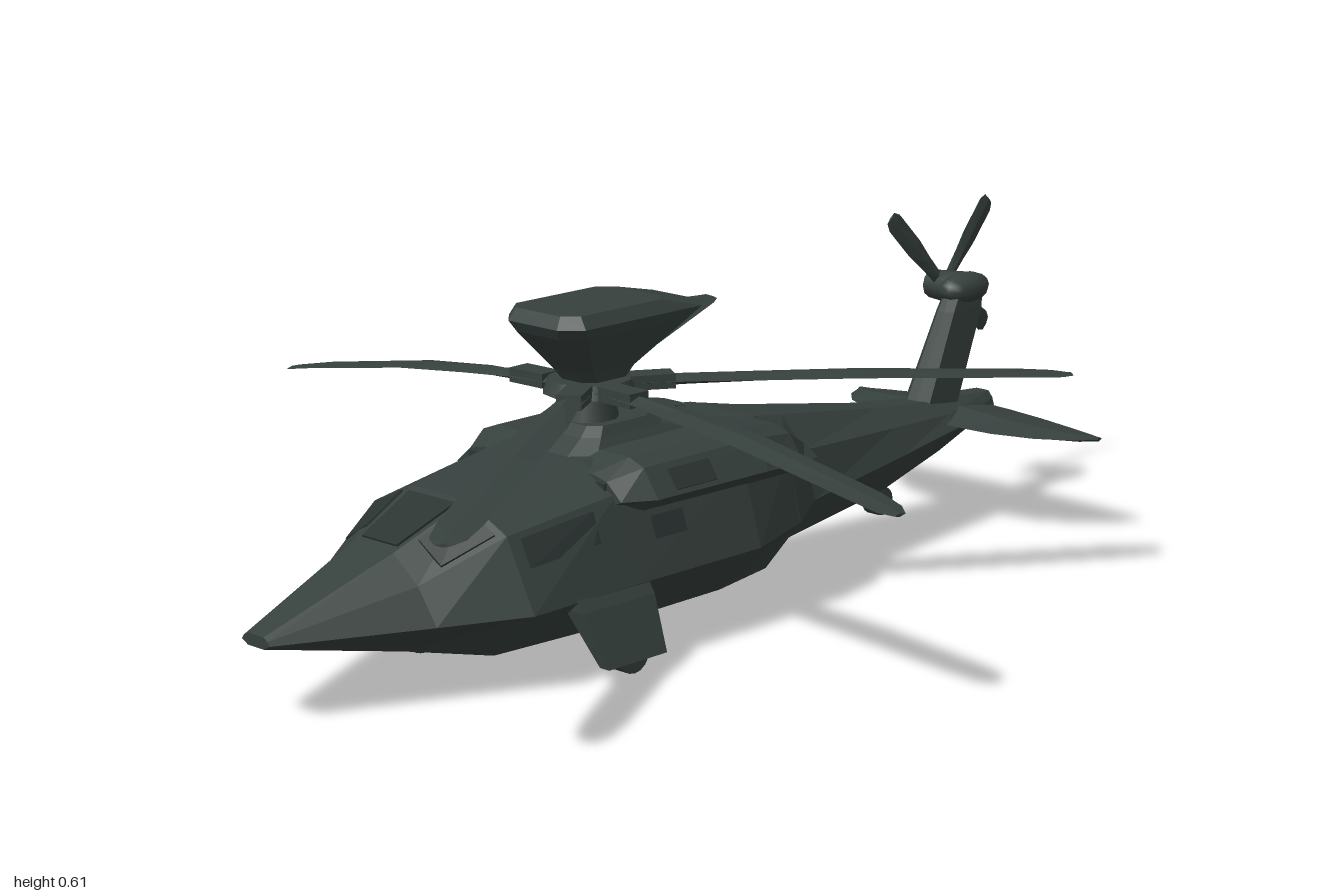
import * as THREE from 'three';

const paint = new THREE.MeshStandardMaterial({ color: 0x36403d });
paint.name = 'dark grey green paint';
const dark = new THREE.MeshStandardMaterial({ color: 0x2c3432 });
dark.name = 'dark glass and vents';

const V = (x, y, z) => new THREE.Vector3(x, y, z);

// Faceted skin through rings of points, closed at both ends.
// Rings run anticlockwise when looking at the first ring from outside.
function loft(rings, mirror = false) {
  if (mirror) rings = rings.map(r => r.map(p => V(-p.x, p.y, p.z)).reverse());
  const pos = [];
  const tri = (...ps) => ps.forEach(p => pos.push(p.x, p.y, p.z));
  const n = rings[0].length;
  for (let i = 0; i < rings.length - 1; i++) {
    const a = rings[i], b = rings[i + 1];
    for (let j = 0; j < n; j++) {
      const k = (j + 1) % n;
      tri(a[j], b[j], b[k]);
      tri(a[j], b[k], a[k]);
    }
  }
  const first = rings[0], last = rings[rings.length - 1];
  for (let j = 1; j < n - 1; j++) {
    tri(first[0], first[j], first[j + 1]);
    tri(last[0], last[j + 1], last[j]);
  }
  const g = new THREE.BufferGeometry();
  g.setAttribute('position', new THREE.Float32BufferAttribute(pos, 3));
  g.computeVertexNormals();
  return g;
}

// Horizontal octagon with chamfered corners
function octRing(y, hw, z0, z1, c) {
  return [[hw, z0 + c], [hw - c, z0], [-hw + c, z0], [-hw, z0 + c],
    [-hw, z1 - c], [-hw + c, z1], [hw - c, z1], [hw, z1 - c]].map(([x, z]) => V(x, y, z));
}

// Diamond-section blade from p0 to p1; stations are [t, half chord, half thickness]
function blade(p0, p1, up, stations, drop = 0) {
  const dir = p1.clone().sub(p0).normalize();
  const side = up.clone().cross(dir.negate()).normalize();
  return loft(stations.map(([t, c, h]) => {
    const m = p0.clone().lerp(p1, t).addScaledVector(up, -drop * t * t);
    return [[c, 0], [0, h], [-c, 0], [0, -h]].map(([a, b]) =>
      m.clone().addScaledVector(side, a).addScaledVector(up, b));
  }));
}

export function createModel() {
  const model = new THREE.Group();
  const add = (name, geo, mat = paint, parent = model) => {
    const m = new THREE.Mesh(geo, mat);
    m.name = name;
    parent.add(m);
    return m;
  };
  const group = name => {
    const g = new THREE.Group();
    g.name = name;
    model.add(g);
    return g;
  };
  const wheel = (name, x, y, z, r, w, parent) =>
    add(name, new THREE.CylinderGeometry(r, r, w, 16).rotateZ(Math.PI / 2).translate(x, y, z), paint, parent);

  // Fuselage: z, then half width and height of belly, chine, shoulder and roof
  const hull = [
    [0.975, 0.02, 0.135, 0.035, 0.143, 0.03, 0.15, 0.02, 0.156],
    [0.72, 0.075, 0.085, 0.155, 0.143, 0.11, 0.205, 0.05, 0.25],
    [0.57, 0.13, 0.055, 0.23, 0.145, 0.165, 0.27, 0.07, 0.315],
    [0.33, 0.135, 0.05, 0.235, 0.15, 0.185, 0.3, 0.1, 0.343],
    [0.02, 0.135, 0.052, 0.235, 0.15, 0.19, 0.3, 0.1, 0.348],
    [-0.13, 0.11, 0.055, 0.19, 0.155, 0.16, 0.28, 0.08, 0.336],
    [-0.14, 0.1, 0.08, 0.187, 0.157, 0.155, 0.28, 0.075, 0.334],
    [-0.23, 0.08, 0.088, 0.14, 0.17, 0.115, 0.26, 0.055, 0.318],
    [-0.53, 0.045, 0.11, 0.1, 0.19, 0.075, 0.24, 0.03, 0.272],
    [-0.72, 0.03, 0.152, 0.075, 0.205, 0.055, 0.23, 0.025, 0.252],
    [-0.89, 0.015, 0.2, 0.03, 0.215, 0.025, 0.23, 0.015, 0.242],
  ].map(([z, ...s]) => {
    const half = [0, 2, 4, 6].map(i => V(s[i], s[i + 1], z));
    return [...half, ...half.map(p => V(-p.x, p.y, z)).reverse()];
  });
  add('fuselage', loft(hull));

  // Thin panel lying on one fuselage face (u along the length, v up the face)
  function panel(name, i, j, u0, u1, v0, v1, mirror) {
    const at = (u, v) => hull[i][j].clone().lerp(hull[i + 1][j], u)
      .lerp(hull[i][j + 1].clone().lerp(hull[i + 1][j + 1], u), v);
    const c = [at(u0, v0), at(u1, v0), at(u1, v1), at(u0, v1)];
    const n = c[2].clone().sub(c[0]).cross(c[3].clone().sub(c[1])).normalize();
    add(name, loft([c.map(p => p.clone().addScaledVector(n, 0.004)),
      c.map(p => p.clone().addScaledVector(n, -0.003))], mirror), dark);
  }
  panel('windscreen', 1, 3, 0.1, 0.9, 0.08, 0.92, false);
  for (const m of [false, true]) {
    panel('quarterWindow', 1, 2, 0.3, 0.92, 0.12, 0.9, m);
    panel('cockpitSideWindow', 2, 1, 0.1, 0.75, 0.55, 0.92, m);
    panel('cabinWindow', 3, 1, 0.2, 0.45, 0.42, 0.68, m);
  }

  // Engine pods with an air intake in front and a vent on the side
  for (const m of [false, true]) {
    const pod = group(m ? 'rightEngine' : 'leftEngine');
    const rings = [
      [0.34, 0.205, 0.275, 0.328], [0.28, 0.235, 0.264, 0.352], [0, 0.235, 0.26, 0.354],
      [-0.12, 0.21, 0.25, 0.335], [-0.21, 0.165, 0.25, 0.285],
    ].map(([z, xo, y0, y1]) => {
      const h = y1 - y0;
      return [[0.06, y0], [xo - 0.035, y0], [xo, y0 + 0.28 * h], [xo - 0.035, y0 + 0.85 * h],
        [xo - 0.07, y1], [0.06, y1]].map(([x, y]) => V(x, y, z));
    });
    add('enginePod', loft(rings, m), paint, pod);
    const s = m ? -1 : 1;
    add('airIntake', new THREE.BoxGeometry(0.07, 0.034, 0.006).translate(s * 0.135, 0.3, 0.342), dark, pod);
    const vent = add('engineVent', new THREE.BoxGeometry(0.007, 0.04, 0.1), dark, pod);
    vent.position.set(s * 0.219, 0.312, 0.18);
    vent.rotation.z = s * 0.61;
  }

  // Rotor pylon, mast and hub
  add('rotorPylon', loft([octRing(0.385, 0.072, 0.12, 0.27, 0.02), octRing(0.368, 0.082, 0.09, 0.29, 0.025),
    octRing(0.335, 0.105, -0.06, 0.34, 0.04)]));
  add('mastBase', new THREE.CylinderGeometry(0.048, 0.058, 0.05, 10).translate(0, 0.395, 0.215));
  add('mast', new THREE.CylinderGeometry(0.034, 0.034, 0.1, 12).translate(0, 0.44, 0.205));
  add('rotorHub', new THREE.CylinderGeometry(0.075, 0.085, 0.025, 12).translate(0, 0.442, 0.21));

  // Sensor housing above the rotor
  add('sensorHousing', loft([
    octRing(0.59, 0.08, 0.09, 0.335, 0.025), octRing(0.568, 0.095, -0.01, 0.348, 0.035),
    octRing(0.548, 0.088, 0.02, 0.335, 0.035), octRing(0.475, 0.05, 0.13, 0.27, 0.02),
    octRing(0.45, 0.042, 0.15, 0.25, 0.018)]));

  // Main rotor: tip x, tip z, droop
  const mainShape = [[0.06, 0.022, 0.012], [0.2, 0.026, 0.01], [0.34, 0.038, 0.007], [0.55, 0.041, 0.006],
    [0.9, 0.037, 0.004], [0.97, 0.03, 0.004], [1, 0.014, 0.003]];
  const rotor = group('mainRotor');
  for (const [x, z, drop] of [[0.752, 0.258, 0.085], [-0.752, 0.258, 0.085], [0.475, -0.55, 0.035],
    [-0.475, -0.59, 0.035], [0.47, 0.99, 0.04]]) {
    const root = V(0, 0.443, Math.abs(x) > 0.6 ? 0.235 : 0.21);
    add('mainBlade', blade(root, V(x, 0.443, z), V(0, 1, 0), mainShape, drop), paint, rotor);
    // grip clamping the blade root
    const grip = add('bladeGrip', new THREE.BoxGeometry(0.045, 0.026, 0.08), paint, rotor);
    const d = V(x, 0, z - root.z).normalize();
    grip.position.copy(root).addScaledVector(d, 0.11);
    grip.rotation.y = Math.atan2(d.x, d.z);
  }

  // Tail fin and tailplane
  add('tailFin', loft([octRing(0.47, 0.018, -0.87, -0.785, 0.012), octRing(0.42, 0.022, -0.868, -0.755, 0.014),
    octRing(0.235, 0.032, -0.79, -0.66, 0.02)]));
  for (const m of [false, true]) {
    const rings = [[0, -0.69, 0.218, 0.022], [0.08, -0.695, 0.215, 0.018], [0.16, -0.715, 0.21, 0.014],
      [0.23, -0.76, 0.204, 0.01], [0.28, -0.815, 0.199, 0.007], [0.305, -0.865, 0.196, 0.004]]
      .map(([x, zl, y, h]) => {
        const mid = zl * 0.6 - 0.88 * 0.4;
        return [V(x, y, zl), V(x, y + h, mid), V(x, y, -0.88), V(x, y - h, mid)];
      });
    add(m ? 'rightTailplane' : 'leftTailplane', loft(rings, m));
  }
  add('tailCone', new THREE.SphereGeometry(0.03, 10, 8).scale(1, 0.75, 1.8).translate(0, 0.222, -0.845));

  // Tail rotor on the right side of the fin
  const tailRotor = group('tailRotor');
  add('tailGearbox', new THREE.SphereGeometry(0.035, 10, 8).scale(1, 0.9, 1.9).translate(0, 0.457, -0.826), paint, tailRotor);
  add('tailRotorHub', new THREE.CylinderGeometry(0.028, 0.035, 0.08, 10).rotateZ(Math.PI / 2)
    .translate(-0.05, 0.452, -0.835), paint, tailRotor);
  for (const [y, z] of [[0.605, -0.685], [0.605, -0.985], [0.28, -0.885], [0.35, -0.985]]) {
    add('tailBlade', blade(V(-0.06, 0.452, -0.835), V(-0.072, y, z), V(-1, 0, 0),
      [[0.05, 0.012, 0.008], [0.35, 0.016, 0.006], [0.55, 0.021, 0.005], [0.93, 0.021, 0.003], [1, 0.014, 0.002]]),
    paint, tailRotor);
  }

  // Main landing gear: slanted fairing, axle and wheel on each side
  const legRing = (y, x0, x1, z0, z1) => [V(x1, y, z0), V(x0, y, z0), V(x0, y, z1), V(x1, y, z1)];
  for (const m of [false, true]) {
    const s = m ? -1 : 1;
    const gear = group(m ? 'rightGear' : 'leftGear');
    add('gearFairing', loft([legRing(0.165, 0.17, 0.222, 0.3, 0.47), legRing(0.13, 0.2, 0.245, 0.3, 0.47),
      legRing(0.035, 0.262, 0.284, 0.31, 0.45)], m), paint, gear);
    add('gearStrut', new THREE.BoxGeometry(0.025, 0.1, 0.035).translate(s * 0.205, 0.085, 0.36), paint, gear);
    add('axle', new THREE.CylinderGeometry(0.01, 0.01, 0.07, 8).rotateZ(Math.PI / 2)
      .translate(s * 0.235, 0.045, 0.36), paint, gear);
    wheel('mainWheel', s * 0.23, 0.036, 0.355, 0.036, 0.042, gear);
  }

  // Tail wheel
  const tailGear = group('tailGear');
  const strut = add('tailStrut', new THREE.CylinderGeometry(0.012, 0.016, 0.075, 8), paint, tailGear);
  strut.position.set(0, 0.1, -0.56);
  strut.rotation.x = 0.25;
  wheel('tailWheel', 0, 0.076, -0.572, 0.028, 0.03, tailGear);

  // Belly sensor pod
  add('bellyPod', new THREE.SphereGeometry(0.025, 10, 8).translate(0, 0.068, 0.62));
  return model;
}
